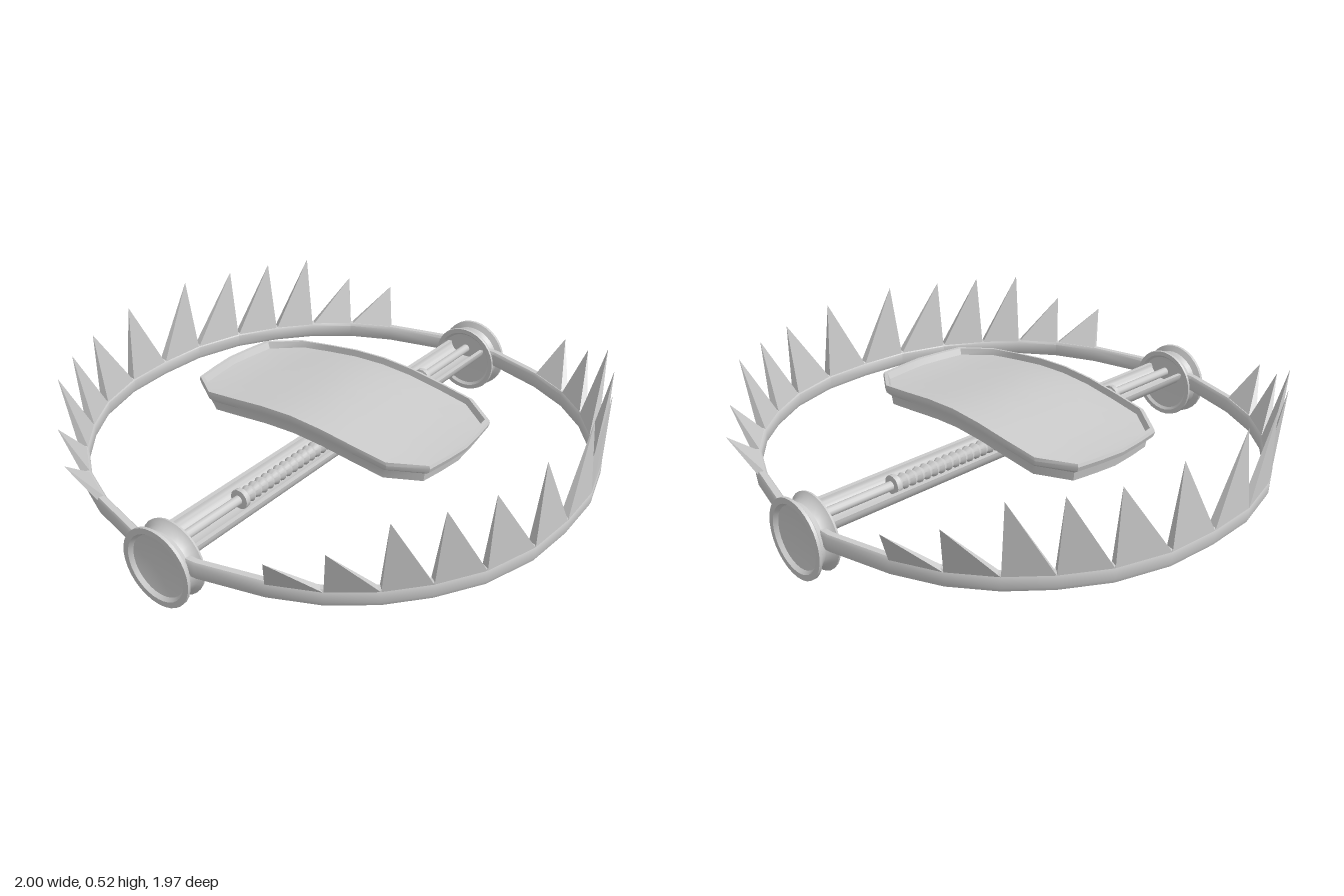
import * as THREE from 'three';
import { toCreasedNormals } from 'three/addons/utils/BufferGeometryUtils.js';

const material = new THREE.MeshStandardMaterial({ color: 0xcccccc });

function addMesh(parent, geometry, name) {
  const mesh = new THREE.Mesh(geometry, material);
  mesh.name = name;
  parent.add(mesh);
  return mesh;
}

// Skin a stack of closed loops of [x, y, z] points
function loft(loops, crease) {
  const pos = [];
  for (let i = 0; i < loops.length - 1; i++) {
    const lo = loops[i], hi = loops[i + 1], n = lo.length;
    for (let j = 0; j < n; j++) {
      const k = (j + 1) % n;
      pos.push(...lo[j], ...lo[k], ...hi[k], ...lo[j], ...hi[k], ...hi[j]);
    }
  }
  const g = new THREE.BufferGeometry();
  g.setAttribute('position', new THREE.Float32BufferAttribute(pos, 3));
  return toCreasedNormals(g, crease);
}

// Move a plan point in or out from the middle
function offset([x, z], d) {
  const r = Math.hypot(x, z);
  return [x * (1 + d / r), z * (1 + d / r)];
}

// Half-ring jaw with twelve raked teeth
function makeJaw() {
  const jaw = new THREE.Group();
  const half = [[0.2, 0.955], [0.4, 0.895], [0.56, 0.8], [0.69, 0.69], [0.8, 0.55], [0.88, 0.38], [0.945, 0.14], [0.95, 0.03]];
  const path = [...half.map(([x, z]) => [-x, z]).reverse(), [0, 0.967], ...half];
  const section = [[0.012, 0.15], [-0.01, 0.15], [-0.018, 0.165], [-0.018, 0.205], [-0.01, 0.215], [0.012, 0.215], [0.018, 0.205], [0.018, 0.165]];
  const band = path.map(p => section.map(([d, y]) => {
    const [x, z] = offset(p, d);
    return [x, y, z];
  }));
  addMesh(jaw, loft(band, 0.7), 'jawBand');

  const tips = [[0.165, 0.52, 0.965], [0.4, 0.5, 0.92], [0.57, 0.5, 0.845], [0.725, 0.5, 0.745], [0.86, 0.4, 0.605], [0.97, 0.36, 0.45]];
  const mid = half.length;
  tips.forEach(([tx, ty, tz], i) => {
    for (const s of [1, -1]) {
      const a = path[s > 0 ? mid + i : mid - i - 1];
      const b = path[s > 0 ? mid + i + 1 : mid - i];
      const base = [[a, 0.017], [b, 0.017], [b, -0.015], [a, -0.015]].map(([p, d]) => {
        const [x, z] = offset(p, d);
        return [x, 0.205, z];
      });
      addMesh(jaw, loft([base, base.map(() => [s * tx, ty, tz])], 0.3), 'tooth');
    }
  });
  return jaw;
}

// Arched octagonal pan with a raised rim
function makePan(parent) {
  const quarter = [[0, 0.57], [0.1, 0.56], [0.2, 0.545], [0.285, 0.42], [0.292, 0.28], [0.295, 0.14]];
  const outline = [];
  for (let q = 0; q < 4; q++) {
    const sx = q < 2 ? 1 : -1, sz = q === 0 || q === 3 ? 1 : -1;
    const pts = q % 2 ? [[0.295, 0], ...quarter.slice(1).reverse()] : quarter;
    pts.forEach(([x, z]) => outline.push([sx * x, sz * z]));
  }
  const arch = z => 0.355 + 0.053 * Math.cos(Math.PI * z / 1.14) ** 2;
  const loop = ([scale, drop]) => outline.map(([x, z]) => [x * scale, arch(z * scale) - drop, z * scale]);
  const rows = [
    [0, 0.1], [0.35, 0.1], [0.65, 0.098], [0.88, 0.092], [0.94, 0.08], [0.95, 0.045],
    [0.99, 0.03], [1, 0.012], [0.993, 0], [0.965, 0], [0.945, 0.025],
    [0.8, 0.028], [0.6, 0.028], [0.4, 0.028], [0.2, 0.028], [0, 0.028],
  ];
  addMesh(parent, loft(rows.map(loop), 0.6), 'pan');
}

// Spool hub, spring and rod for the +x end, lying along x
function makeEnd() {
  const end = new THREE.Group();
  const lathe = (pts, sides) => {
    const g = new THREE.LatheGeometry(pts.map(p => new THREE.Vector2(...p)), sides);
    return toCreasedNormals(g.rotateZ(-Math.PI / 2), 0.6);
  };
  const hub = [
    [0, 0.925], [0.115, 0.92], [0.125, 0.91], [0.143, 0.91], [0.145, 0.918], [0.128, 0.932], [0.12, 0.955],
    [0.128, 0.975], [0.15, 0.988], [0.15, 1], [0.128, 1], [0.118, 0.985], [0.08, 0.978], [0.04, 0.975], [0, 0.974],
  ];
  addMesh(end, lathe(hub, 32), 'hub').position.y = 0.15;

  const spring = [[0, 0.04]];
  for (let x = 0.04; x < 0.56; x += 0.034) spring.push([0.022, x], [0.032, x + 0.017]);
  spring.push([0.022, 0.56], [0.038, 0.565], [0.038, 0.585], [0, 0.59]);
  addMesh(end, lathe(spring, 14), 'spring').position.y = 0.2;

  const rod = new THREE.CylinderGeometry(0.018, 0.018, 0.36, 12).rotateZ(Math.PI / 2);
  addMesh(end, rod, 'springRod').position.set(0.75, 0.2, 0);
  return end;
}

export function createModel() {
  const model = new THREE.Group();
  model.name = 'jawTrap';

  for (const turn of [0, Math.PI]) {
    const jaw = makeJaw();
    jaw.name = turn ? 'backJaw' : 'frontJaw';
    jaw.rotation.y = turn;
    const end = makeEnd();
    end.name = turn ? 'rightEnd' : 'leftEnd';
    end.rotation.y = turn;
    model.add(jaw, end);
  }

  // Open trough between the hubs
  const trough = new THREE.Shape();
  trough.moveTo(-0.09, 0.215);
  trough.absellipse(0, 0.215, 0.09, 0.068, Math.PI, 2 * Math.PI, false);
  trough.lineTo(0.073, 0.215);
  trough.absellipse(0, 0.215, 0.073, 0.052, 2 * Math.PI, Math.PI, true);
  trough.closePath();
  const bar = new THREE.ExtrudeGeometry(trough, { depth: 1.84, bevelEnabled: false, curveSegments: 10 });
  bar.translate(0, 0, -0.92).rotateY(Math.PI / 2);
  addMesh(model, toCreasedNormals(bar, 0.6), 'baseTrough');

  // Post carrying the pan
  const post = new THREE.CylinderGeometry(0.045, 0.06, 0.15, 16);
  addMesh(model, post, 'panPost').position.y = 0.25;
  makePan(model);
  return model;
}
